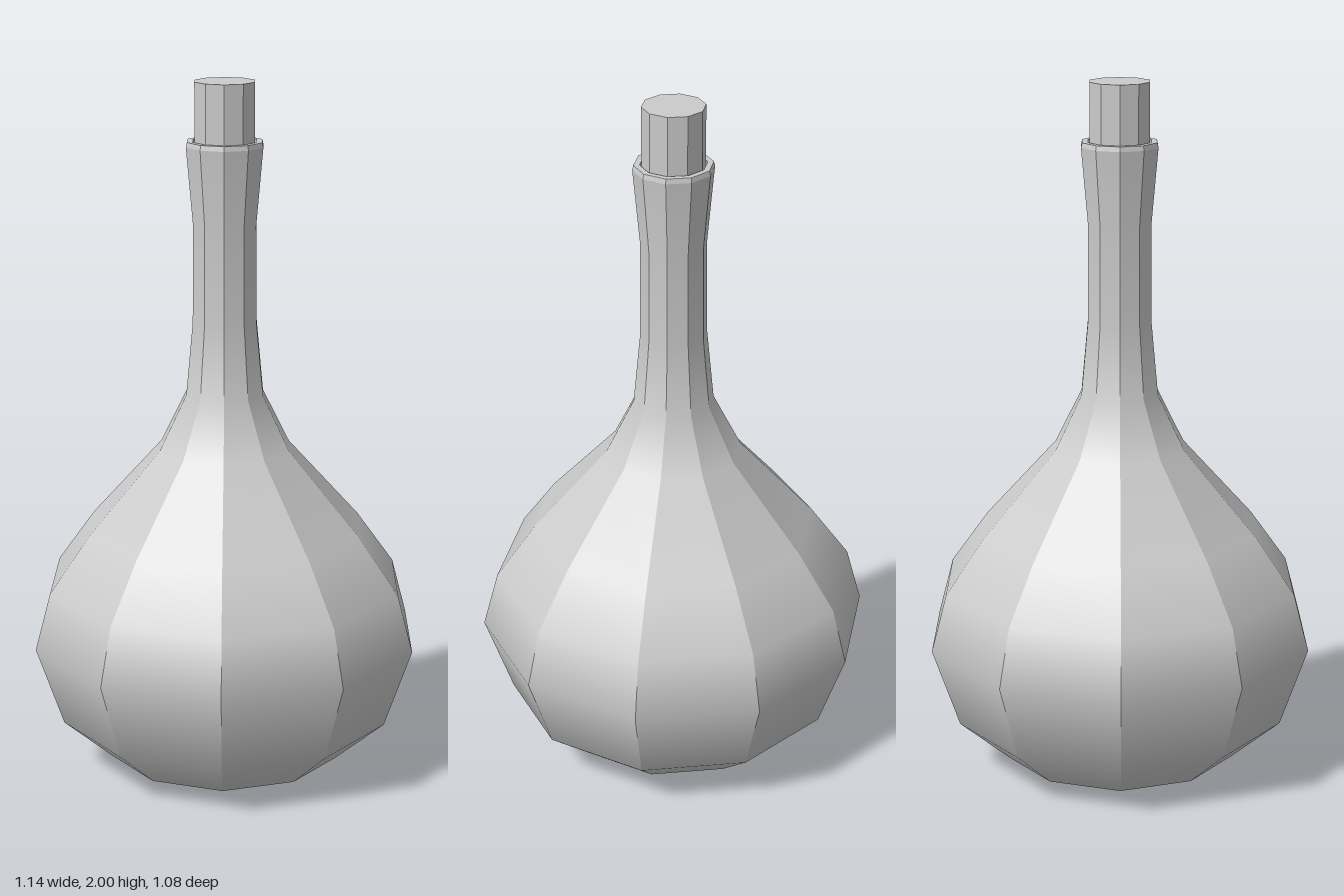
import * as THREE from 'three';
import { mergeGeometries } from 'three/addons/utils/BufferGeometryUtils.js';

const SIDES = 10;

// Faceted lathe: smooth along the profile, a hard edge between neighbouring panels.
function facetedLathe(profile) {
  const points = profile.map(([r, y]) => new THREE.Vector2(r, y));
  const step = (Math.PI * 2) / SIDES;
  const panels = [];
  for (let i = 0; i < SIDES; i++) {
    const start = Math.PI / 2 + i * step;
    const panel = new THREE.LatheGeometry(points, 1, start, step);
    const mid = start + step / 2;
    const normal = panel.attributes.normal;
    for (let j = 0; j < normal.count; j++) {
      const angle = start + (j < points.length ? 0 : step);
      const radial = normal.getX(j) * Math.sin(angle) + normal.getZ(j) * Math.cos(angle);
      normal.setXYZ(j, radial * Math.sin(mid), normal.getY(j), radial * Math.cos(mid));
    }
    panels.push(panel);
  }
  return mergeGeometries(panels);
}

export function createModel() {
  const group = new THREE.Group();
  group.name = 'bottle';
  const material = new THREE.MeshStandardMaterial({ color: 0xcccccc });

  const addPart = (name, ...profiles) => {
    const mesh = new THREE.Mesh(mergeGeometries(profiles.map(facetedLathe)), material);
    mesh.name = name;
    group.add(mesh);
  };

  // Shallow convex underside
  addPart('base', [[0, 0], [0.345, 0.025]]);

  // Round belly drawn up into a slim, flared neck
  addPart('body', [
    [0.345, 0.025], [0.49, 0.15], [0.57, 0.385], [0.525, 0.55], [0.41, 0.71],
    [0.195, 0.95], [0.115, 1.11], [0.095, 1.32], [0.093, 1.6], [0.113, 1.82],
  ]);

  // Rim with a small bevel, and the inside of the mouth
  addPart('rim',
    [[0.113, 1.82], [0.11, 1.834]],
    [[0.11, 1.834], [0.093, 1.834]],
    [[0.093, 1.834], [0.088, 1.76]]);

  // Stopper: straight wall and flat top
  addPart('stopper',
    [[0.088, 1.74], [0.088, 2]],
    [[0.088, 2], [0, 2]]);

  return group;
}
